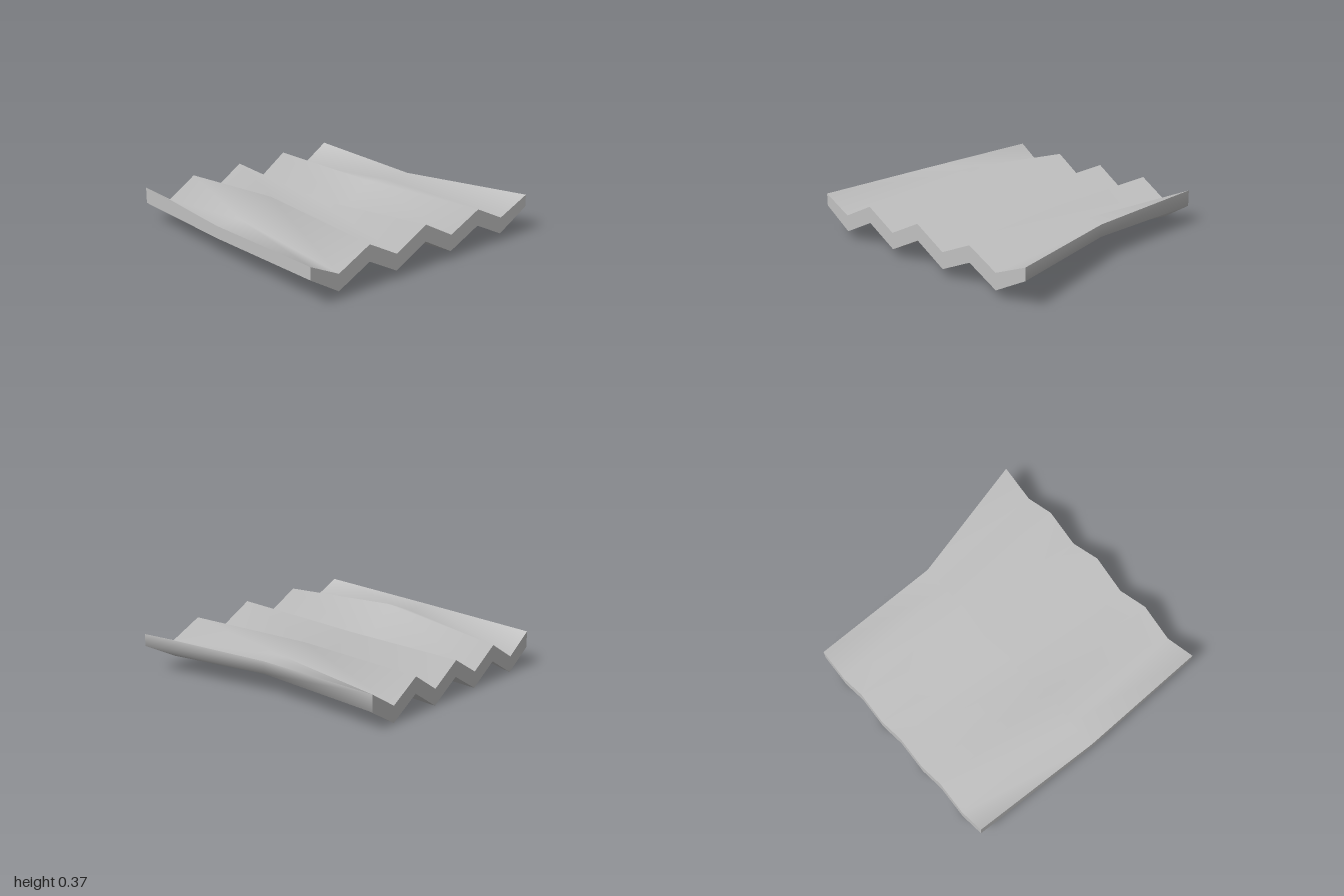
import * as THREE from 'three';

// Cross-sections of the pleated sheet: [z, y] along the top, front to back
const sections = [
  { x: -0.975, thick: 0.12, edge: 0.12, top: [[0.94, 0.27], [0.74, 0.13], [0.52, 0.27], [0.31, 0.13], [0.09, 0.27], [-0.13, 0.125], [-0.34, 0.27], [-0.56, 0.13], [-0.77, 0.265]] },
  { x: 0, thick: 0.11, edge: 0.09, top: [[1.0, 0.27], [0.8, 0.26], [0.54, 0.37], [0.31, 0.125], [0.12, 0.25], [-0.14, 0.13], [-0.36, 0.288], [-0.58, 0.24], [-0.77, 0.255]] },
  { x: 0.975, thick: 0.12, edge: 0.09, top: [[1.0, 0.29], [0.77, 0.18], [0.51, 0.31], [0.27, 0.18], [0.005, 0.315], [-0.24, 0.18], [-0.5, 0.3], [-0.74, 0.18], [-1.0, 0.29]] },
];

// Surface through rows of points that run front to back
function grid(rows, flip) {
  const n = rows[0].length;
  const index = [];
  for (let i = 0; i < rows.length - 1; i++) {
    for (let j = 0; j < n - 1; j++) {
      const a = i * n + j, b = a + n, c = b + 1, d = a + 1;
      index.push(...(flip ? [a, d, b, b, d, c] : [a, b, d, b, c, d]));
    }
  }
  const g = new THREE.BufferGeometry();
  g.setAttribute('position', new THREE.Float32BufferAttribute(rows.flat(2), 3));
  g.setIndex(index);
  g.computeVertexNormals();
  return g;
}

// Smooth pleats: each normal halves the angle between the two slopes that meet there
function smoothPleats(geometry, rows, side) {
  const slope = (row, j) => {
    const [, y0, z0] = row[j], [, y1, z1] = row[j + 1];
    return new THREE.Vector3(0, z0 - z1, y1 - y0).normalize();
  };
  const normals = rows.flatMap(row => row.map((_, j) => {
    const before = slope(row, Math.max(j - 1, 0));
    const after = slope(row, Math.min(j, row.length - 2));
    return before.add(after).normalize().multiplyScalar(side).toArray();
  }));
  geometry.setAttribute('normal', new THREE.Float32BufferAttribute(normals.flat(), 3));
  return geometry;
}

export function createModel() {
  const group = new THREE.Group();
  group.name = 'pleatedSheet';
  const grey = new THREE.MeshStandardMaterial({ color: 0xc0c0c0 });
  grey.name = 'plain grey';
  const add = (name, geometry) => {
    const mesh = new THREE.Mesh(geometry, grey);
    mesh.name = name;
    group.add(mesh);
  };

  const top = sections.map(s => s.top.map(([z, y]) => [s.x, y, z]));
  const bottom = sections.map(s => s.top.map(([z, y], j) =>
    [s.x, y - (j === 0 || j === s.top.length - 1 ? s.edge : s.thick), z]));
  const last = top[0].length - 1;

  add('topSurface', smoothPleats(grid(top, false), top, 1));
  // The underside rounds softly into the back edge
  const under = bottom.map((row, i) => [...row, top[i][last]]);
  add('undersideAndBackEdge', smoothPleats(grid(under, true), under, -1));
  add('frontEdge', grid(top.map((row, i) => [bottom[i][0], row[0]]), false));
  // Zigzag side edges
  add('rightEdge', grid([bottom[0], top[0]], false));
  add('leftEdge', grid([bottom[2], top[2]], true));
  return group;
}
